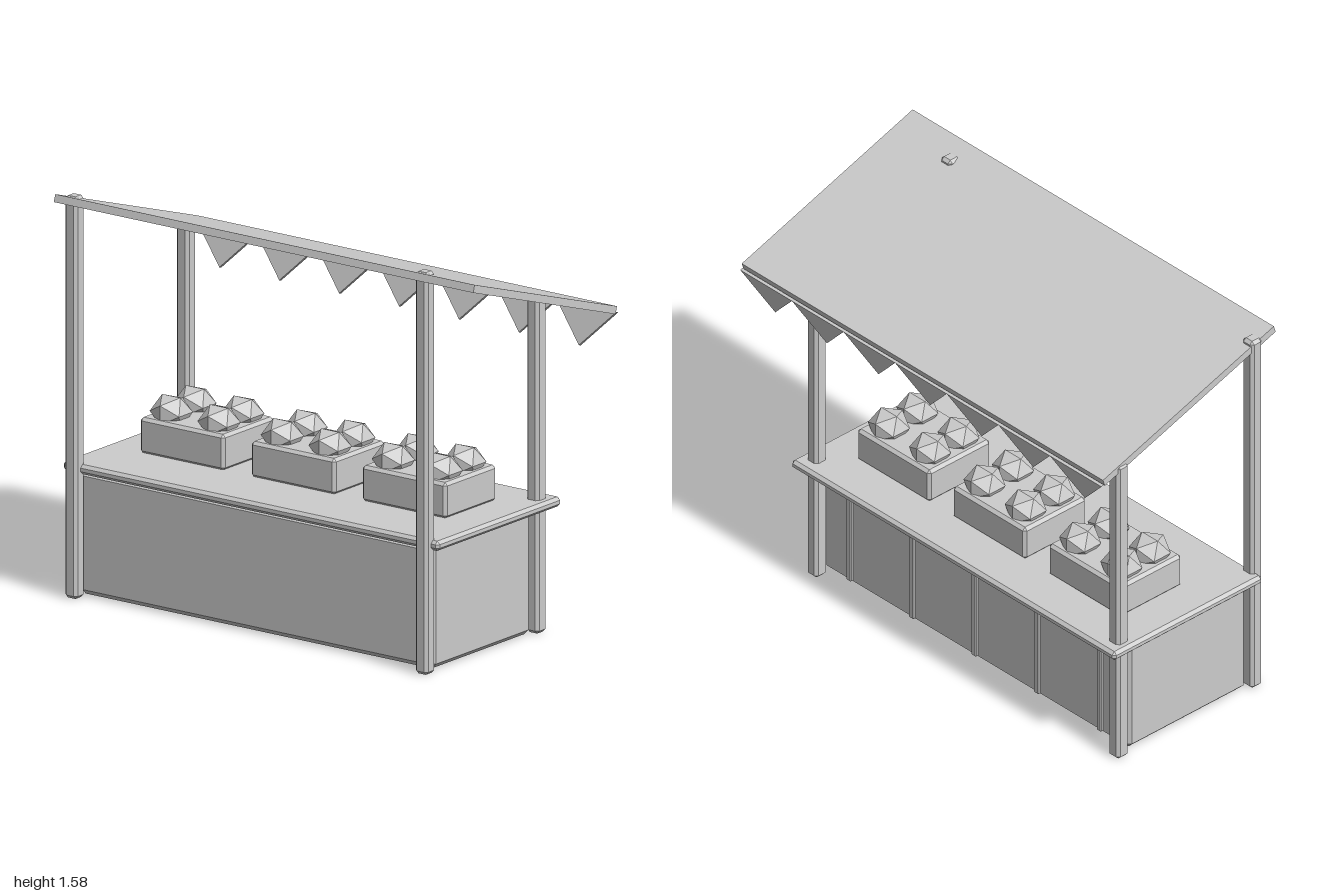
import * as THREE from 'three';
import { ConvexGeometry } from 'three/addons/geometries/ConvexGeometry.js';

// Box with chamfered edges, given by its min and max on each axis
function chamferBox(x, y, z, bevel) {
  const ranges = [x, y, z];
  const half = ranges.map(([a, b]) => (b - a) / 2);
  const mid = ranges.map(([a, b]) => (a + b) / 2);
  const points = [];
  for (const sx of [-1, 1]) for (const sy of [-1, 1]) for (const sz of [-1, 1]) {
    for (let full = 0; full < 3; full++) {
      const c = [sx, sy, sz].map((s, i) => s * (half[i] - (i === full ? 0 : bevel)));
      points.push(new THREE.Vector3(...c));
    }
  }
  return new ConvexGeometry(points).translate(...mid);
}

export function createModel() {
  const model = new THREE.Group();
  model.name = 'marketStall';
  const grey = new THREE.MeshStandardMaterial({ color: 0xcccccc });
  grey.name = 'plainGrey';

  const add = (name, geometry, parent = model) => {
    const mesh = new THREE.Mesh(geometry, grey);
    mesh.name = name;
    parent.add(mesh);
    return mesh;
  };

  // Counter body and worktop
  add('counterBody', chamferBox([-0.95, 0.71], [0.004, 0.485], [-0.292, 0.316], 0.02));
  add('worktop', chamferBox([-1, 0.76], [0.48, 0.518], [-0.41, 0.35], 0.012));

  // Battens on the back of the counter
  for (let i = -2; i <= 2; i++) {
    const x = -0.12 + i * 0.34;
    add('backBatten', chamferBox([x - 0.013, x + 0.013], [0.022, 0.485], [-0.303, -0.28], 0.004));
  }

  // Posts, taller at the front
  for (const x of [-0.942, 0.699]) {
    add('frontPost', chamferBox([x - 0.029, x + 0.029], [0, 1.56], [0.32, 0.378], 0.012));
    add('backPost', chamferBox([x - 0.029, x + 0.029], [0, 1.318], [-0.363, -0.304], 0.012));
  }

  // Sloping roof
  const roof = new THREE.Group();
  roof.name = 'roof';
  roof.position.set(0.018, 1.4225, 0.007);
  roof.rotation.x = -0.318;
  model.add(roof);
  add('roofPanel', new THREE.BoxGeometry(1.964, 0.03, 0.918), roof);

  // Row of pennants along the low edge
  const step = 1.964 / 7;
  const triangle = new THREE.Shape([
    new THREE.Vector2(-step / 2, 0),
    new THREE.Vector2(0, -0.15),
    new THREE.Vector2(step / 2, 0),
  ]);
  const pennant = new THREE.ExtrudeGeometry(triangle, { depth: 0.012, bevelEnabled: false });
  for (let i = -3; i <= 3; i++) {
    add('pennant', pennant, roof).position.set(i * step, -0.007, -0.474);
  }

  // Crates, each holding four faceted fruits
  const fruit = new THREE.IcosahedronGeometry(0.081, 0).scale(1, 0.87, 1);
  for (const x of [-0.642, -0.122, 0.398]) {
    const crate = new THREE.Group();
    crate.name = 'fruitCrate';
    crate.position.set(x, 0, -0.07);
    model.add(crate);
    add('crate', chamferBox([-0.198, 0.198], [0.515, 0.655], [-0.158, 0.158], 0.012), crate);
    for (const sx of [-1, 1]) for (const sz of [-1, 1]) {
      add('fruit', fruit, crate).position.set(sx * 0.112, 0.673, sz * 0.0725);
    }
  }
  return model;
}
